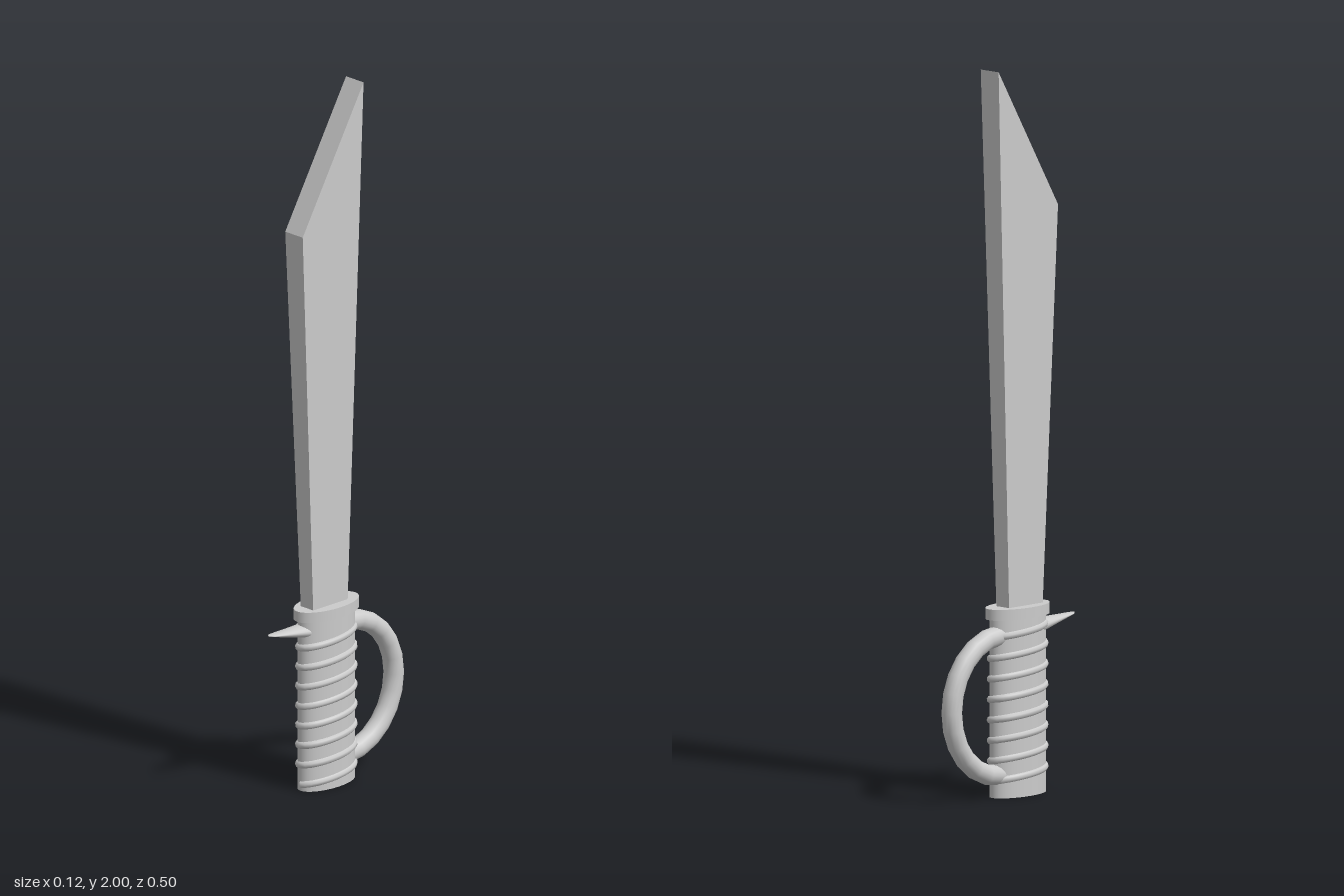
import * as THREE from 'three';

const GRIP_Z = 0.035; // centre of the oval handle

export function createModel() {
  const group = new THREE.Group();
  const smooth = new THREE.MeshStandardMaterial({ color: 0xcccccc });
  const flat = new THREE.MeshStandardMaterial({ color: 0xcccccc, flatShading: true });
  const add = (name, geometry, material = smooth) => {
    const mesh = new THREE.Mesh(geometry, material);
    mesh.name = name;
    group.add(mesh);
    return mesh;
  };

  // Oval cylinder standing between two heights
  const oval = (name, rx, rz, y0, y1) => {
    const g = new THREE.CylinderGeometry(1, 1, y1 - y0, 32);
    g.scale(rx, 1, rz);
    g.translate(0, (y0 + y1) / 2, GRIP_Z);
    return add(name, g);
  };

  // Blade: a box tapering towards the handle, with a slanted tip
  const blade = new THREE.BoxGeometry(1, 1, 1);
  const p = blade.attributes.position;
  for (let i = 0; i < p.count; i++) {
    const top = p.getY(i) > 0, edge = p.getZ(i) > 0;
    p.setXYZ(i,
      Math.sign(p.getX(i)) * (top ? 0.034 : 0.024),
      top ? (edge ? 1.61 : 2) : 0.5,
      top ? (edge ? 0.157 : -0.073) : (edge ? 0.107 : -0.022));
  }
  blade.computeVertexNormals();
  add('blade', blade, flat);

  // Handle and collar
  oval('grip', 0.049, 0.098, 0, 0.5);
  oval('collar', 0.058, 0.11, 0.49, 0.52);

  // Cord wound around the grip
  const turns = 8, cord = [];
  for (let i = 0; i <= turns * 24; i++) {
    const a = (i / 24) * Math.PI * 2;
    cord.push(new THREE.Vector3(
      0.045 * Math.sin(a), 0.018 + 0.45 * i / (turns * 24), GRIP_Z + 0.094 * Math.cos(a)));
  }
  add('gripWrap', new THREE.TubeGeometry(new THREE.CatmullRomCurve3(cord), turns * 32, 0.011, 8));

  // Hand guard: half an oval behind the grip
  const bow = [];
  for (let i = 0; i <= 12; i++) {
    const a = (i / 12) * Math.PI;
    bow.push(new THREE.Vector3(-0.004, 0.253 + 0.192 * Math.cos(a), -0.04 - 0.184 * Math.sin(a)));
  }
  add('handGuard', new THREE.TubeGeometry(new THREE.CatmullRomCurve3(bow), 12, 0.028, 16));

  // Front spike: straight on top, tapering from below to a thin rounded tip
  const spike = new THREE.CylinderGeometry(1, 1, 1, 20, 12);
  const s = spike.attributes.position;
  for (let i = 0; i < s.count; i++) {
    const t = s.getY(i) + 0.5;
    const round = Math.sqrt(Math.max(0, 1 - Math.max(0, (t - 0.88) / 0.12) ** 2));
    const rx = (0.034 - 0.023 * t) * Math.max(round, 0.15);
    const ry = 0.021 - 0.0195 * t;
    s.setXYZ(i, -0.004 + s.getX(i) * rx, 0.476 - ry - s.getZ(i) * ry, 0.1 + 0.15 * t);
  }
  spike.computeVertexNormals();
  add('spike', spike);

  return group;
}
